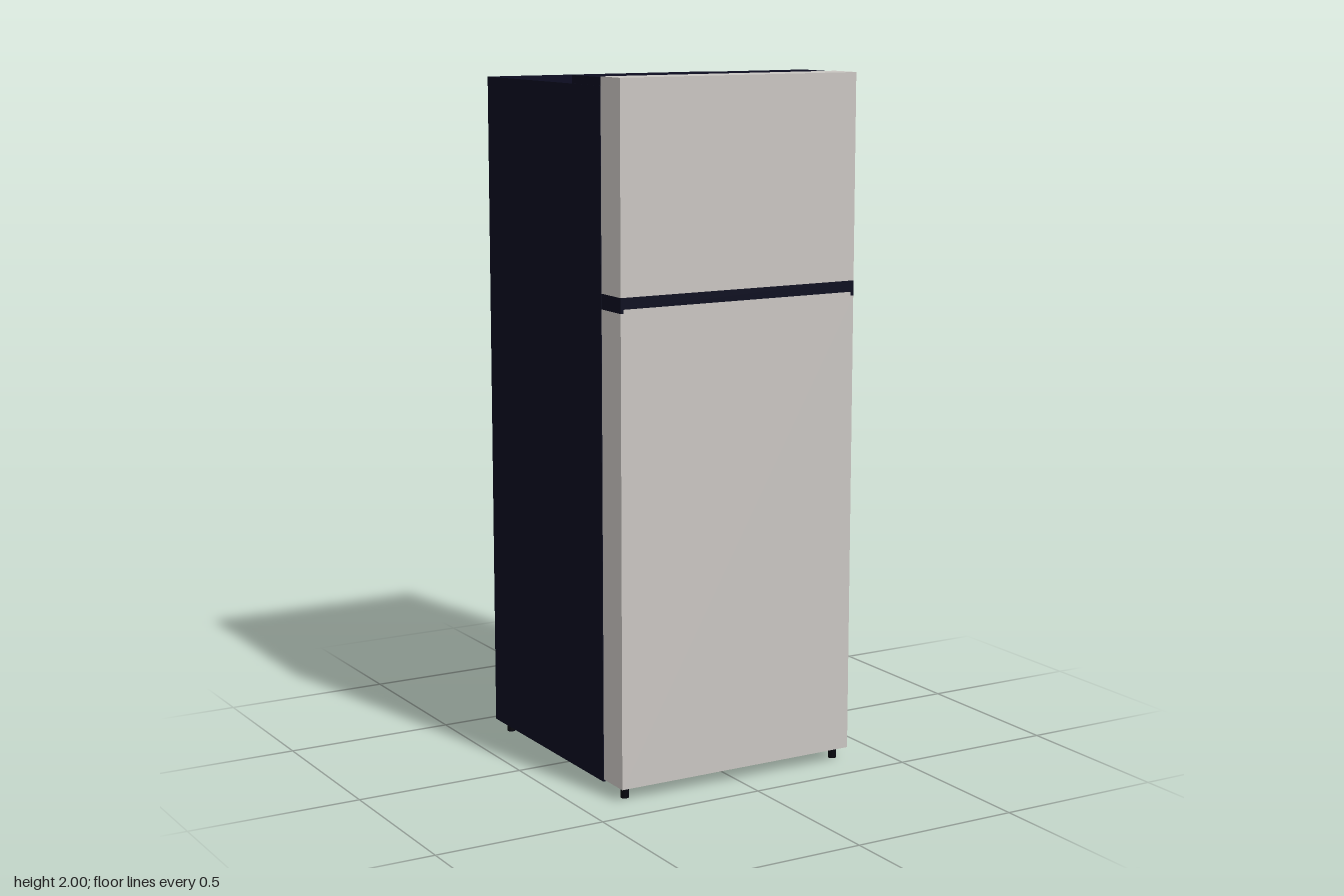
import * as THREE from 'three';

export function createModel() {
  const model = new THREE.Group();
  model.name = 'refrigerator';

  const doorGrey = new THREE.MeshStandardMaterial({ color: 0xcac6c2 });
  doorGrey.name = 'warm grey';
  const navy = new THREE.MeshStandardMaterial({ color: 0x0b0c1f });
  navy.name = 'dark navy';
  const black = new THREE.MeshStandardMaterial({ color: 0x06060e });
  black.name = 'black';

  // Box given by its minimum and maximum along each axis
  function box(name, material, [x0, x1], [y0, y1], [z0, z1]) {
    const mesh = new THREE.Mesh(new THREE.BoxGeometry(x1 - x0, y1 - y0, z1 - z0), material);
    mesh.position.set((x0 + x1) / 2, (y0 + y1) / 2, (z0 + z1) / 2);
    mesh.name = name;
    model.add(mesh);
  }

  // Cabinet and the raised hinge cover along its top front edge
  box('cabinet', navy, [-0.38, 0.38], [0.03, 1.975], [-0.393, 0.286]);
  box('hingeCover', navy, [-0.378, 0.378], [1.975, 1.998], [0.125, 0.286]);

  // Doors
  const depth = [0.286, 0.392];
  box('freezerDoor', doorGrey, [-0.378, 0.378], [1.415, 2], depth);
  box('fridgeDoor', doorGrey, [-0.378, 0.378], [0.036, 1.372], depth);

  // Dark handle band between the doors, with a lip of the lower door in front
  box('handleBand', navy, [-0.378, 0.378], [1.383, 1.415], depth);
  box('doorLip', doorGrey, [-0.369, 0.369], [1.372, 1.383], depth);
  for (const side of [-1, 1]) {
    const xs = [side * 0.369, side * 0.378].sort((a, b) => a - b);
    box('handleEndCap', navy, xs, [1.372, 1.383], depth);
  }

  // Levelling feet
  const footGeometry = new THREE.CylinderGeometry(0.012, 0.012, 0.036, 16);
  for (const x of [-0.35, 0.35]) {
    for (const z of [-0.35, 0.355]) {
      const foot = new THREE.Mesh(footGeometry, black);
      foot.position.set(x, 0.018, z);
      foot.name = 'foot';
      model.add(foot);
    }
  }

  return model;
}
